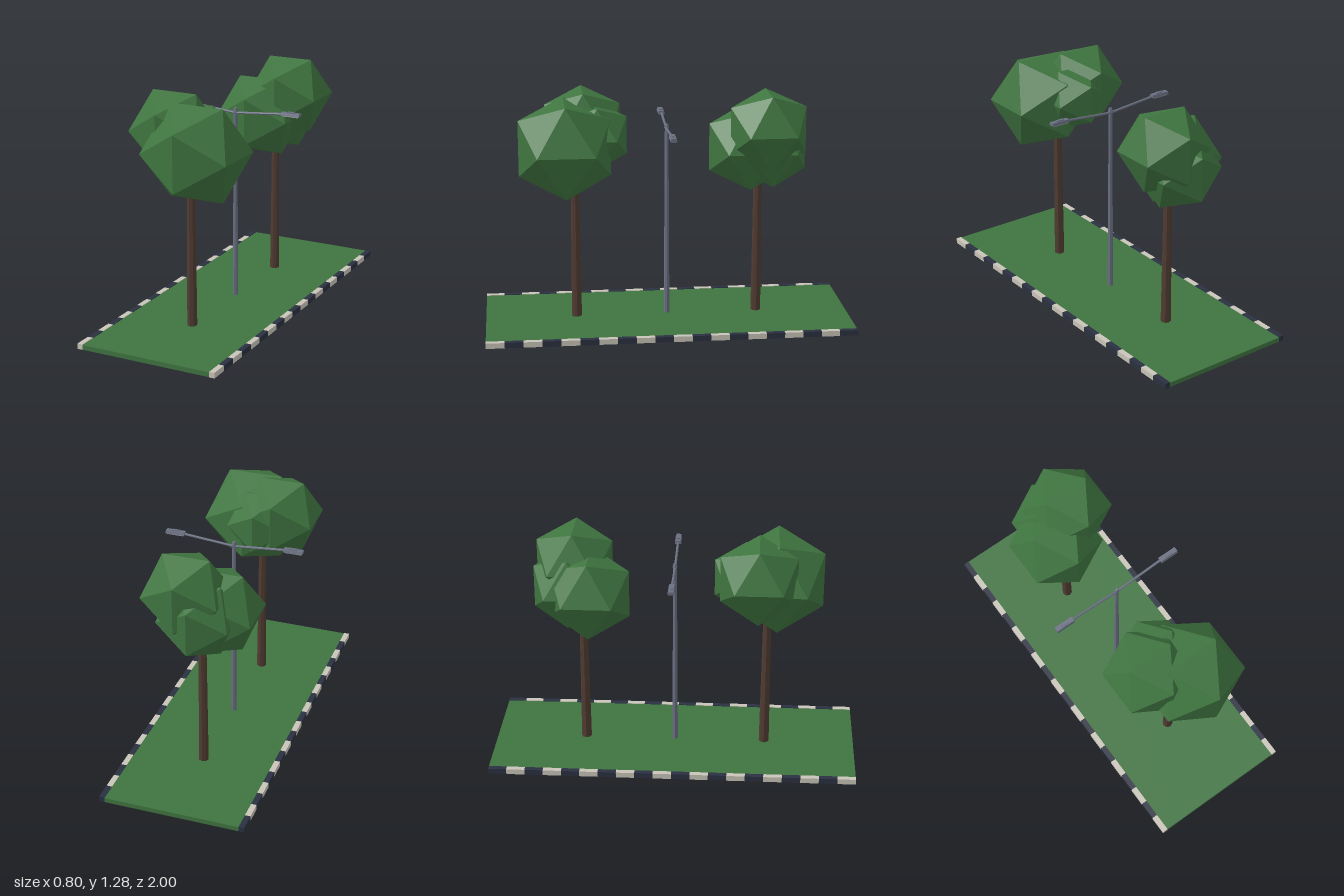
import * as THREE from 'three';

const paint = (name, color, flatShading = false) => {
  const m = new THREE.MeshStandardMaterial({ color, flatShading });
  m.name = name;
  return m;
};

export function createModel() {
  const root = new THREE.Group();
  root.name = 'roadMedian';
  const grass = paint('grassGreen', 0x3f7340);
  const leaf = paint('leafGreen', 0x3f7540, true);
  const bark = paint('barkBrown', 0x503c32, true);
  const metal = paint('lampGrey', 0x6b7082, true);
  const lens = paint('lensGrey', 0x9a9da8);
  const light = paint('curbLight', 0xc8c4b8);
  const dark = paint('curbDark', 0x2a3040);

  const add = (parent, name, geometry, material, x = 0, y = 0, z = 0) => {
    const mesh = new THREE.Mesh(geometry, material);
    mesh.name = name;
    mesh.position.set(x, y, z);
    parent.add(mesh);
    return mesh;
  };
  const group = (name) => {
    const g = new THREE.Group();
    g.name = name;
    root.add(g);
    return g;
  };

  // Lawn strip
  add(root, 'lawn', new THREE.BoxGeometry(0.74, 0.026, 2), grass, 0, 0.014, 0);

  // Striped curbs along both long sides, light block first at the front
  const curbs = group('curbs');
  const block = new THREE.BoxGeometry(0.03, 0.03, 0.1);
  for (const side of [-1, 1]) {
    for (let i = 0; i < 20; i++) {
      add(curbs, 'curbBlock', block, i % 2 ? dark : light, side * 0.385, 0.015, 0.95 - i * 0.1);
    }
  }

  // Trees: tapered trunk and faceted foliage clumps [x, y, z, radius]
  const tree = (name, z, clumps) => {
    const g = group(name);
    add(g, 'trunk', new THREE.CylinderGeometry(0.021, 0.028, 0.92, 8), bark, 0, 0.46, z);
    for (const [x, y, cz, r] of clumps) {
      add(g, 'foliage', new THREE.IcosahedronGeometry(r), leaf, x, y, cz);
    }
  };
  tree('frontTree', 0.5, [
    [0.062, 0.997, 0.553, 0.291],
    [-0.12, 1.07, 0.45, 0.241],
    [-0.03, 1.04, 0.38, 0.195],
  ]);
  tree('backTree', -0.5, [
    [0.066, 1.07, -0.545, 0.241],
    [-0.072, 0.95, -0.455, 0.251],
    [-0.008, 0.955, -0.57, 0.225],
  ]);

  // Double street lamp
  const lamp = group('streetLamp');
  add(lamp, 'pole', new THREE.CylinderGeometry(0.01, 0.016, 1.09, 8), metal, 0, 0.545, 0);
  add(lamp, 'poleCap', new THREE.CylinderGeometry(0.009, 0.014, 0.022, 8), metal, 0, 1.091, 0);

  // Lamp head with a narrowed top
  const headShape = new THREE.BoxGeometry(0.105, 0.016, 0.036);
  const p = headShape.attributes.position;
  for (let i = 0; i < p.count; i++) {
    if (p.getY(i) > 0) p.setZ(i, p.getZ(i) * 0.75);
  }
  for (const side of [-1, 1]) {
    // Arm rises gently from the pole to the head
    const start = new THREE.Vector3(0, 1.074, 0);
    const end = new THREE.Vector3(side * 0.29, 1.1, 0);
    const arm = add(lamp, 'arm', new THREE.CylinderGeometry(0.007, 0.007, start.distanceTo(end), 8), metal);
    arm.position.copy(start).lerp(end, 0.5);
    arm.quaternion.setFromUnitVectors(new THREE.Vector3(0, 1, 0), end.clone().sub(start).normalize());
    add(lamp, 'lampHead', headShape, metal, side * 0.331, 1.103, 0);
    add(lamp, 'lampRidge', new THREE.BoxGeometry(0.04, 0.006, 0.016), metal, side * 0.33, 1.113, 0);
    add(lamp, 'lens', new THREE.BoxGeometry(0.09, 0.005, 0.028), lens, side * 0.331, 1.093, 0);
  }
  return root;
}
